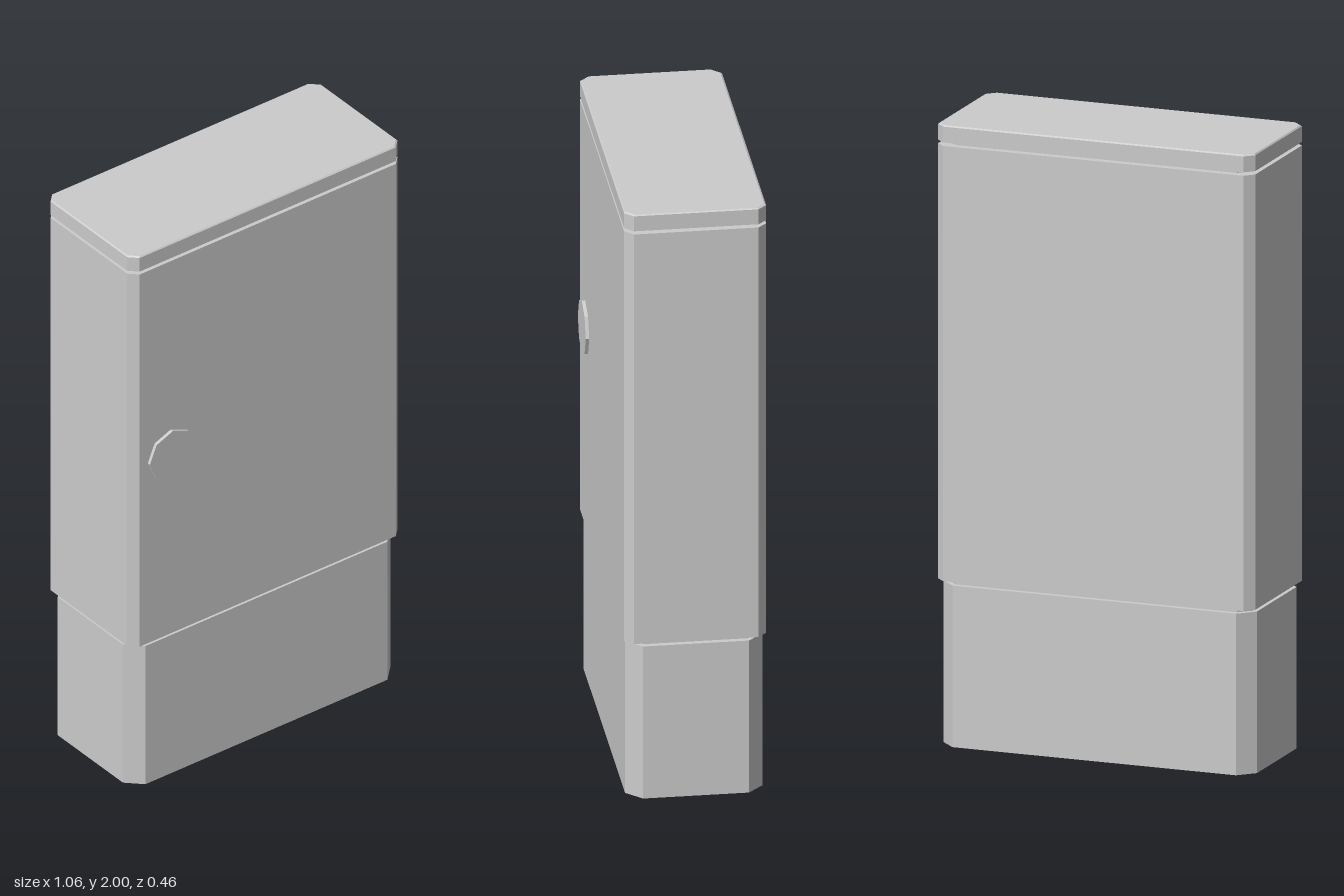
import * as THREE from 'three';

const material = new THREE.MeshStandardMaterial({ color: 0xcccccc, flatShading: true, side: THREE.DoubleSide });

// Rectangle with cut corners at height y, as eight points seen from above
function ring({ y, x, back, front, cut }) {
  return [
    [x, front - cut], [x, back + cut], [x - cut, back], [-x + cut, back],
    [-x, back + cut], [-x, front - cut], [-x + cut, front], [x - cut, front],
  ].map(([px, pz]) => [px, y, pz]);
}

// Skin through a stack of rings from bottom to top, with an optional top cap
function loft(name, sections, cap = false) {
  const rings = sections.map(ring);
  const n = 8;
  const index = [];
  for (let r = 0; r < rings.length - 1; r++) {
    for (let i = 0; i < n; i++) {
      const a = r * n + i, b = r * n + (i + 1) % n;
      index.push(a, b, b + n, a, b + n, a + n);
    }
  }
  if (cap) {
    const t = (rings.length - 1) * n;
    for (let i = 1; i < n - 1; i++) index.push(t, t + i, t + i + 1);
  }
  const geometry = new THREE.BufferGeometry();
  geometry.setAttribute('position', new THREE.Float32BufferAttribute(rings.flat(2), 3));
  geometry.setIndex(index);
  const flat = geometry.toNonIndexed();
  flat.computeVertexNormals();
  const mesh = new THREE.Mesh(flat, material);
  mesh.name = name;
  return mesh;
}

export function createModel() {
  const group = new THREE.Group();
  group.name = 'streetCabinet';

  const plinth = { x: 0.526, back: -0.222, front: 0.211, cut: 0.05 };
  const neck = { x: 0.508, back: -0.204, front: 0.194, cut: 0.036 };
  const body = { x: 0.532, back: -0.229, front: 0.218, cut: 0.028 };
  const lidTop = { x: 0.528, back: -0.223, front: 0.214, cut: 0.027 };
  const at = (section, y) => ({ ...section, y });

  group.add(
    // Plinth, hollow and open below
    loft('plinth', [at(plinth, 0), at(plinth, 0.52), at(neck, 0.52)]),
    // Recessed shadow gaps
    loft('lowerGap', [at(neck, 0.52), at(neck, 0.533)]),
    loft('upperGap', [at(neck, 1.934), at(neck, 1.945)]),
    // Cabinet body with inward shelves at both ends
    loft('cabinetBody', [at(neck, 0.533), at(body, 0.533), at(body, 1.934), at(neck, 1.934)]),
    // Lid with a fine bevelled rim
    loft('lid', [at(neck, 1.945), at(body, 1.945), at(body, 1.996), at(lidTop, 2)], true),
  );

  // Octagonal lock cover on the door
  const lock = new THREE.Mesh(new THREE.CylinderGeometry(0.09, 0.09, 0.011, 8), material);
  lock.name = 'lockCover';
  lock.rotation.x = Math.PI / 2;
  lock.position.set(-0.382, 1.21, 0.2235);
  group.add(lock);

  return group;
}
